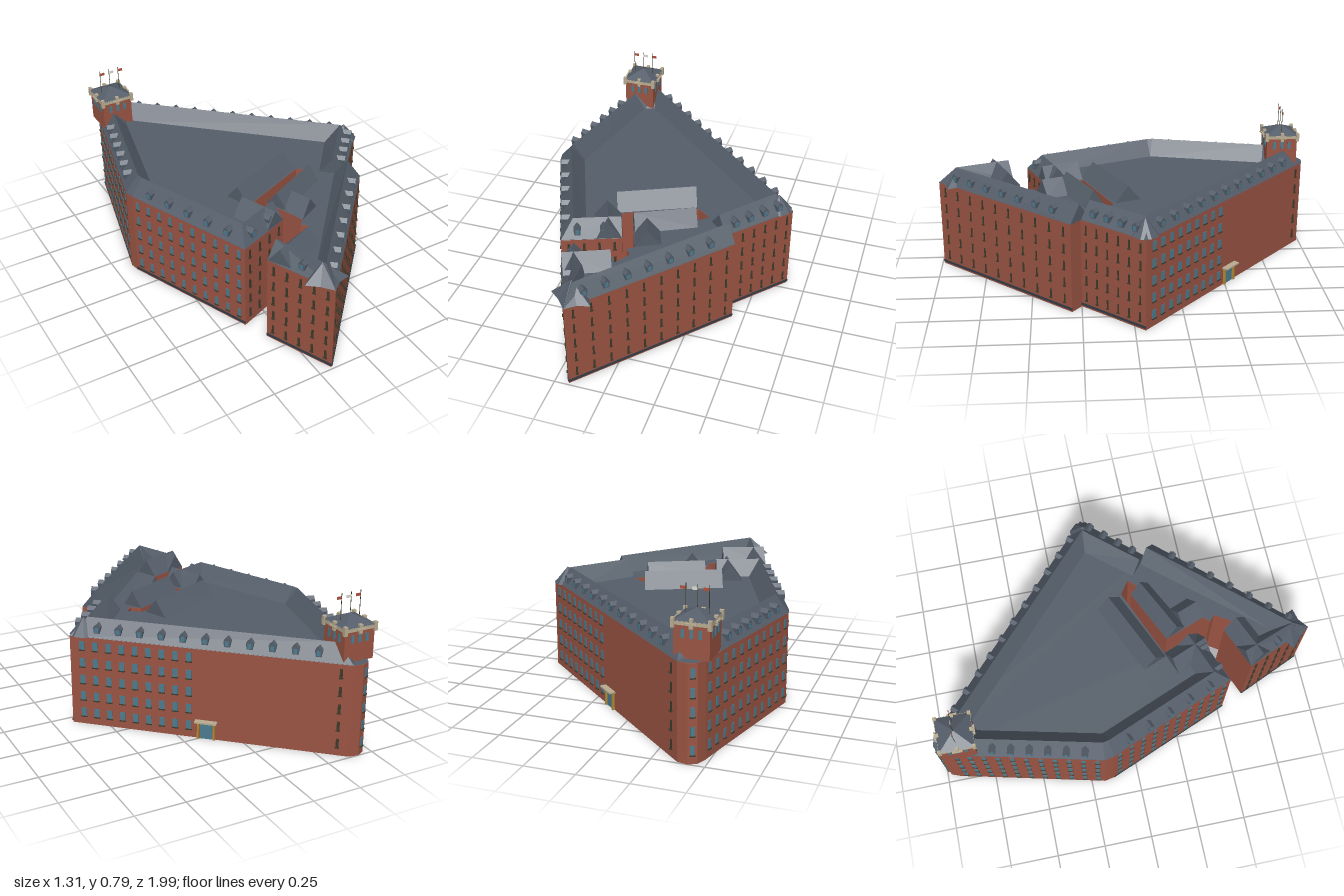
import * as THREE from 'three';

const mat = (color, extra = {}) => new THREE.MeshStandardMaterial({ color, roughness: 0.9, flatShading: true, ...extra });
const BRICK = mat(0x9a5443, { side: THREE.DoubleSide });
const SLATE = mat(0x545d69, { side: THREE.DoubleSide });
const GLASS = mat(0x4b7c90), DARK = mat(0x3b3a2a), CREAM = mat(0xb8ab90), GOLD = mat(0xb08a35);
const PLINTH = mat(0x343b45), RED = mat(0xb0503e), WHITE = mat(0xdddccf);
const EAVE = 0.47, RIDGE = 0.555;

function add(parent, name, geo, material, x = 0, y = 0, z = 0) {
  const m = new THREE.Mesh(geo, material);
  m.name = name;
  m.position.set(x, y, z);
  parent.add(m);
  return m;
}
const box = (p, name, w, h, d, material, x, y, z) => add(p, name, new THREE.BoxGeometry(w, h, d), material, x, y, z);

// Footprint as x, z corners
const FOOTPRINT = [
  [0.38, 0.25], [0.44, 0.30], [-0.18, 0.99], [-0.33, 0.65], [-0.11, 0.56], [-0.07, 0.61], [-0.02, 0.53],
  [-0.05, 0.50], [-0.02, 0.47], [-0.10, 0.26], [0.18, 0.13], [0.22, 0.17], [0.26, 0.13], [0.22, 0.10],
  [0.19, 0.08], [-0.17, 0.23], [-0.10, 0.42], [-0.38, 0.53], [-0.65, -0.13], [-0.66, -0.18], [-0.51, -0.80],
  [-0.48, -0.93], [-0.46, -0.98], [-0.42, -1.0], [-0.37, -0.99], [0.65, -0.05],
];

// Gabled roof along a chain of [outerX, outerZ, innerX, innerZ] stations
function gableRoof(parent, name, stations) {
  const pos = [];
  const rows = stations.map(([ox, oz, ix, iz]) => [
    [ox, EAVE, oz], [(ox + ix) / 2, RIDGE, (oz + iz) / 2], [ix, EAVE, iz],
  ]);
  for (let i = 0; i + 1 < rows.length; i++) {
    for (let k = 0; k < 2; k++) {
      const a = rows[i][k], b = rows[i][k + 1], c = rows[i + 1][k + 1], d = rows[i + 1][k];
      pos.push(...a, ...b, ...c, ...a, ...c, ...d);
    }
  }
  pos.push(...rows[0].flat(), ...rows[rows.length - 1].flat());
  const g = new THREE.BufferGeometry();
  g.setAttribute('position', new THREE.Float32BufferAttribute(pos, 3));
  g.computeVertexNormals();
  add(parent, name, g, SLATE);
}

// Group whose local x runs along the wall from a to b and whose +z points outward
function wallFrame(parent, name, a, b) {
  const g = new THREE.Group();
  g.name = name;
  g.position.set(a[0], 0, a[1]);
  g.rotation.y = Math.atan2(a[1] - b[1], b[0] - a[0]);
  parent.add(g);
  return [g, Math.hypot(b[0] - a[0], b[1] - a[1])];
}

// Columns of windows; start and end are fractions of the wall length
function windows(g, len, cols, start, end, width, material) {
  for (let c = 0; c < cols; c++) {
    const x = len * (start + (end - start) * (c + 0.5) / cols);
    for (let r = 0; r < 5; r++) {
      const y = 0.065 + r * 0.09;
      box(g, 'window', width, 0.045, 0.006, material, x, y, 0);
      box(g, 'windowSill', width + 0.006, 0.005, 0.014, DARK, x, y - 0.024, 0);
    }
  }
}

// Small gabled dormers standing on the outer roof slope
const dormerShape = new THREE.Shape([[-0.014, 0], [0.014, 0], [0.018, 0.03], [0, 0.047], [-0.018, 0.03]]
  .map(p => new THREE.Vector2(...p)));
const dormerGeo = new THREE.ExtrudeGeometry(dormerShape, { depth: 0.045, bevelEnabled: false });
function dormers(g, len, n, start = 0, end = 1) {
  for (let i = 0; i < n; i++) {
    const x = len * (start + (end - start) * (i + 0.5) / n);
    add(g, 'dormer', dormerGeo, SLATE, x, 0.492, -0.053);
    box(g, 'dormerWindow', 0.018, 0.024, 0.004, GLASS, x, 0.509, -0.008);
  }
}

function buildTower(parent) {
  const t = new THREE.Group();
  t.name = 'cornerTower';
  t.position.set(-0.42, 0, -0.87);
  parent.add(t);
  box(t, 'towerShaft', 0.165, 0.16, 0.165, BRICK, 0, 0.55, 0);
  box(t, 'towerCornice', 0.178, 0.018, 0.178, CREAM, 0, 0.632, 0);
  const roof = add(t, 'towerRoof', new THREE.ConeGeometry(0.127, 0.042, 4), SLATE, 0, 0.661, 0);
  roof.rotation.y = Math.PI / 4;
  for (let i = -1; i <= 1; i++) {
    for (let j = -1; j <= 1; j++) {
      if (i || j) box(t, 'cornicePost', 0.017, 0.045, 0.017, CREAM, i * 0.084, 0.632, j * 0.084);
    }
    // Flag row
    const x = i * 0.053;
    add(t, 'flagPole', new THREE.CylinderGeometry(0.0015, 0.0015, 0.13, 6), DARK, x, 0.72, 0);
    box(t, 'flag', 0.025, 0.014, 0.002, i ? RED : WHITE, x + 0.0135, 0.764, 0);
  }
  for (let k = 0; k < 4; k++) {
    const side = new THREE.Group();
    side.name = 'towerSide';
    side.rotation.y = k * Math.PI / 2;
    t.add(side);
    for (const x of [-0.04, 0, 0.04]) box(side, 'towerWindow', 0.016, 0.04, 0.006, GLASS, x, 0.585, 0.083);
    box(side, 'corniceBracket', 0.05, 0.008, 0.015, CREAM, 0, 0.632, 0.092);
  }
}

// Faceted pavilion roof on the south tip, overhanging the walls
function buildTipRoof(parent) {
  const rim = [[-0.28, 0.89], [-0.225, 0.935], [-0.18, 0.99], [-0.13, 0.95], [-0.07, 0.935], [-0.1, 0.87], [-0.16, 0.8], [-0.23, 0.85]];
  const pos = [];
  rim.forEach((a, i) => {
    const b = rim[(i + 1) % rim.length];
    pos.push(a[0], EAVE, a[1], b[0], EAVE, b[1], -0.18, RIDGE, 0.88);
  });
  const g = new THREE.BufferGeometry();
  g.setAttribute('position', new THREE.Float32BufferAttribute(pos, 3));
  g.computeVertexNormals();
  add(parent, 'tipPavilionRoof', g, SLATE);
}

export function createModel() {
  const model = new THREE.Group();
  model.name = 'brickBlock';

  // Brick walls and flat inner roof
  const shape = new THREE.Shape(FOOTPRINT.map(([x, z]) => new THREE.Vector2(x, -z)));
  const body = add(model, 'brickWalls', new THREE.ExtrudeGeometry(shape, { depth: EAVE, bevelEnabled: false }), BRICK);
  body.rotation.x = -Math.PI / 2;
  const flat = add(model, 'flatRoof', new THREE.ShapeGeometry(shape), SLATE, 0, EAVE + 0.002, 0);
  flat.rotation.x = -Math.PI / 2;

  // Gabled roofs
  gableRoof(model, 'perimeterRoof', [
    [0.38, 0.25, 0.28, 0.16], [0.65, -0.05, 0.46, -0.06], [-0.37, -0.99, -0.33, -0.79], [-0.51, -0.80, -0.38, -0.77],
    [-0.66, -0.18, -0.52, -0.17], [-0.65, -0.13, -0.52, -0.16], [-0.38, 0.53, -0.31, 0.36], [-0.10, 0.42, -0.15, 0.30],
  ]);
  gableRoof(model, 'westCourtRoof', [[-0.10, 0.42, -0.22, 0.465], [-0.17, 0.23, -0.30, 0.28]]);
  gableRoof(model, 'northCourtRoof', [[-0.24, 0.11, -0.19, 0.235], [0.13, -0.06, 0.18, 0.07]]);
  gableRoof(model, 'southEastRoof', [[0.44, 0.30, 0.34, 0.21], [-0.18, 0.99, -0.16, 0.80], [-0.33, 0.65, -0.21, 0.60]]);
  gableRoof(model, 'southCourtRoof', [[-0.33, 0.65, -0.27, 0.77], [-0.11, 0.56, -0.06, 0.68]]);
  gableRoof(model, 'eastCourtRoof', [[-0.10, 0.26, -0.05, 0.37], [0.18, 0.13, 0.23, 0.23]]);
  gableRoof(model, 'eastCourtWingRoof', [[-0.06, 0.36, 0.06, 0.31], [-0.02, 0.47, 0.10, 0.41]]);
  buildTipRoof(model);
  const corner = add(model, 'eastCornerRoof', new THREE.ConeGeometry(0.07, 0.085, 8), SLATE, 0.575, 0.513, -0.05);
  corner.rotation.y = Math.PI / 8;

  // Street facades: name, start, end, window columns, span, width, material, dormers, plinth
  const facades = [
    ['southEastFacade', [-0.18, 0.99], [0.44, 0.30], 10, 0, 1, 0.009, DARK, 7, true],
    ['eastFacade', [0.38, 0.25], [0.65, -0.05], 6, 0, 1, 0.009, DARK, 4, true],
    ['southWestFacade', [-0.33, 0.65], [-0.18, 0.99], 5, 0, 1, 0.012, DARK, 1, true],
    ['westLowerFacade', [-0.65, -0.13], [-0.38, 0.53], 10, 0, 1, 0.018, GLASS, 5, true],
    ['westUpperFacade', [-0.51, -0.80], [-0.66, -0.18], 9, 0, 1, 0.02, GLASS, 6, false],
    ['northEastFacade', [0.65, -0.05], [-0.37, -0.99], 9, 0.02, 0.46, 0.026, GLASS, 11, false],
    ['northWestBay', [-0.48, -0.93], [-0.51, -0.80], 2, 0, 1, 0.02, GLASS, 0, false],
    ['northTipBay', [-0.42, -1.0], [-0.46, -0.98], 1, 0, 1, 0.02, GLASS, 0, false],
    ['passageFacade', [-0.38, 0.53], [-0.10, 0.42], 4, 0, 1, 0.012, DARK, 2, false],
  ];
  for (const [name, a, b, cols, s, e, w, material, nDormers, plinth] of facades) {
    const [g, len] = wallFrame(model, name, a, b);
    windows(g, len, cols, s, e, w, material);
    dormers(g, len, nDormers, 0.06, 0.92);
    if (plinth) box(g, 'plinthBand', len, 0.012, 0.008, PLINTH, len / 2, 0.016, 0);
    // Entrance with canopy on the long rear wall
    if (name === 'northEastFacade') {
      const x = len * 0.5;
      box(g, 'entranceDoor', 0.06, 0.085, 0.008, GLASS, x, 0.043, 0);
      box(g, 'entranceCanopy', 0.11, 0.008, 0.04, CREAM, x, 0.095, 0.012);
      for (const d of [-0.04, 0.04]) box(g, 'entrancePost', 0.01, 0.09, 0.012, GOLD, x + d, 0.045, 0.006);
      windows(g, len, 1, 0.93, 0.99, 0.014, DARK);
    }
  }

  buildTower(model);
  return model;
}
